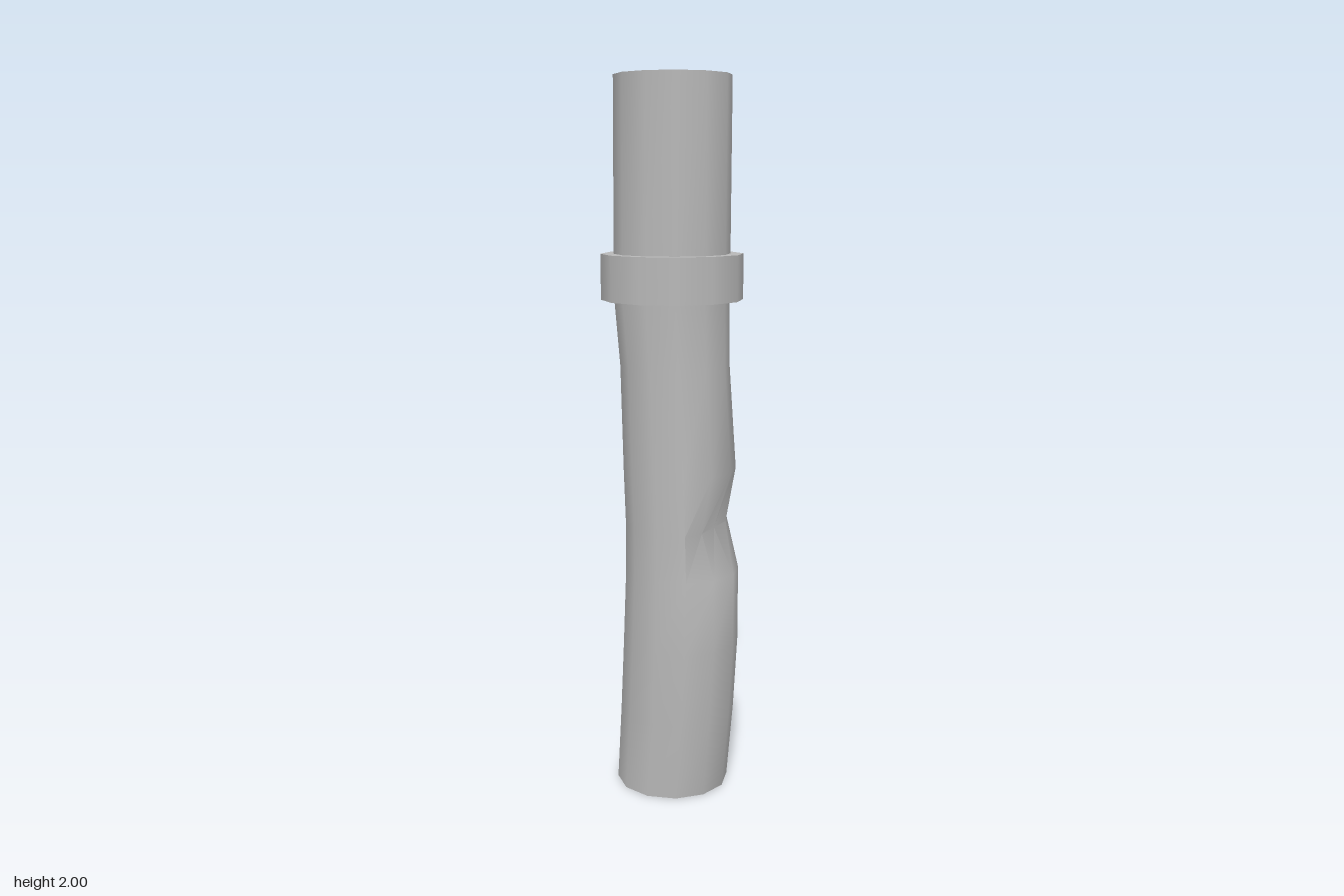
import * as THREE from 'three';
import { toCreasedNormals } from 'three/addons/utils/BufferGeometryUtils.js';

const SIDES = 12;

// Sections from the bottom up: height, centre x, radius, and the largest x allowed (for the dent)
const SECTIONS = [
  [0, 0, 0.16, 1],
  [0.22, 0.016, 0.163, 1],
  [0.43, 0.027, 0.164, 1],
  [0.64, 0.031, 0.16, 1],
  [0.77, 0.028, 0.157, 0.13],
  [0.93, 0.023, 0.158, 1],
  [1.22, 0.008, 0.152, 1],
  [1.4, -0.001, 0.159, 1],
  [1.53, -0.001, 0.16, 1],
  [2, 0.001, 0.16, 1],
];

// Loft a closed pipe by moving each ring of a cylinder to its section
function pipeGeometry() {
  const n = SECTIONS.length - 1;
  const geometry = new THREE.CylinderGeometry(1, 1, n, SIDES, n);
  const p = geometry.attributes.position;
  for (let i = 0; i < p.count; i++) {
    const [y, cx, r, maxX] = SECTIONS[Math.round(p.getY(i) + n / 2)];
    p.setXYZ(i, Math.min(cx + r * p.getX(i), maxX), y, r * p.getZ(i));
  }
  return toCreasedNormals(geometry, 0.8);
}

export function createModel() {
  const model = new THREE.Group();
  const grey = new THREE.MeshStandardMaterial({ color: 0xb8b8b8 });
  grey.name = 'grey metal';

  // Bent pipe with a dent on its left side
  const pipe = new THREE.Mesh(pipeGeometry(), grey);
  pipe.name = 'pipe';

  // Collar around the upper part
  const collar = new THREE.Mesh(new THREE.CylinderGeometry(0.196, 0.196, 0.125, SIDES), grey);
  collar.name = 'collar';
  collar.position.set(-0.001, 1.465, 0);

  model.add(pipe, collar);
  return model;
}
